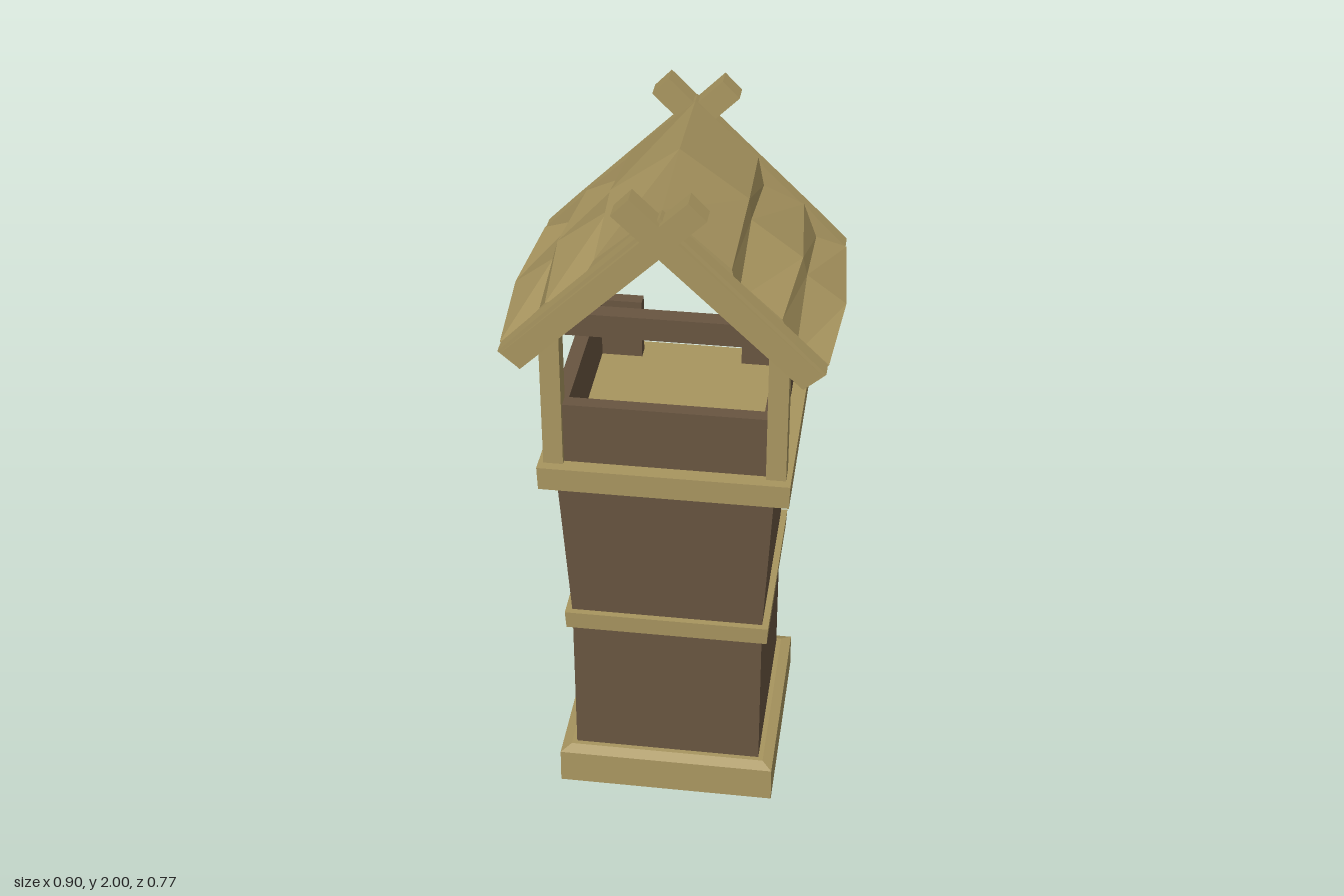
import * as THREE from 'three';

const flat = (name, color) => {
  const m = new THREE.MeshStandardMaterial({ color, flatShading: true });
  m.name = name;
  return m;
};

// Lofted roof: closed profiles (counter-clockwise seen from +z) joined along z
function roofGeometry() {
  const ridgeToEave = (d) => [d, 1.94 - 0.97 * d];
  // each half runs from the lower eave edge up to the first shingle lip
  const plain = {
    ridge: 1.94,
    half: [[0.37, 1.477], [0.425, 1.525], ...[0.342, 0.31, 0.192, 0.178].map(ridgeToEave)],
  };
  const notched = {
    ridge: 1.94,
    half: [[0.37, 1.477], [0.428, 1.525], [0.342, 1.55], [0.305, 1.65], [0.192, 1.7], [0.175, 1.785]],
  };
  const middle = {
    ridge: 1.952,
    half: [[0.385, 1.477], [0.45, 1.525], [0.342, 1.605], [0.33, 1.657], [0.19, 1.76], [0.184, 1.82]],
  };
  const loop = ({ ridge, half }) => [
    ...half, [0, ridge], ...half.map(([x, y]) => [-x, y]).reverse(), [0, 1.838],
  ];
  const sections = [
    [-0.362, plain], [-0.315, plain], [-0.315, notched], [0, middle],
    [0.315, notched], [0.315, plain], [0.362, plain],
  ].map(([z, p]) => loop(p).map(([x, y]) => [x, y, z]));

  const n = sections[0].length;
  const index = [];
  for (let s = 0; s < sections.length - 1; s++) {
    for (let i = 0; i < n; i++) {
      const j = (i + 1) % n;
      const a = s * n + i, b = s * n + j, c = b + n, d = a + n;
      index.push(a, b, c, a, c, d);
    }
  }
  // end caps
  const outline = sections[0].map(([x, y]) => new THREE.Vector2(x, y));
  const last = (sections.length - 1) * n;
  for (const [a, b, c] of THREE.ShapeUtils.triangulateShape(outline, [])) {
    index.push(c, b, a, last + a, last + b, last + c);
  }
  const g = new THREE.BufferGeometry();
  g.setAttribute('position', new THREE.Float32BufferAttribute(sections.flat(2), 3));
  g.setIndex(index);
  const out = g.toNonIndexed();
  out.computeVertexNormals();
  return out;
}

// Gable rafter, leaning outward towards the ridge
function rafterGeometry(side) {
  const g = new THREE.BoxGeometry(0.679, 0.066, 0.058);
  const p = g.attributes.position;
  for (let i = 0; i < p.count; i++) {
    const upper = p.getX(i) * side < 0;
    p.setZ(i, p.getZ(i) > 0 ? (upper ? 0.384 : 0.366) : (upper ? 0.325 : 0.315));
  }
  g.rotateZ(-side * 0.771);
  g.translate(side * 0.147, 1.7375, 0);
  return g;
}

export function createModel() {
  const root = new THREE.Group();
  root.name = 'watchtower';
  const tan = flat('tan timber', 0xa8955f);
  const brown = flat('dark brown planks', 0x685540);

  const tower = new THREE.Group();
  tower.name = 'tower';
  tower.position.set(-0.012, 0, -0.003);
  root.add(tower);

  const add = (name, geometry, material, parent = tower) => {
    const m = new THREE.Mesh(geometry, material);
    m.name = name;
    parent.add(m);
    return m;
  };
  // square block, half widths at bottom and top
  const block = (name, y0, y1, w0, w1, material) => {
    const g = new THREE.CylinderGeometry(w1 * Math.SQRT2, w0 * Math.SQRT2, y1 - y0, 4);
    g.rotateY(Math.PI / 4);
    g.translate(0, (y0 + y1) / 2, 0);
    return add(name, g, material);
  };
  const box = (name, x0, x1, y0, y1, z0, z1, material) => {
    const g = new THREE.BoxGeometry(x1 - x0, y1 - y0, z1 - z0);
    g.translate((x0 + x1) / 2, (y0 + y1) / 2, (z0 + z1) / 2);
    return add(name, g, material);
  };

  // shaft and ledges
  block('base', 0, 0.107, 0.315, 0.314, tan);
  block('baseBevel', 0.107, 0.12, 0.314, 0.285, tan);
  block('lowerShaft', 0.11, 0.57, 0.271, 0.271, brown);
  block('middleBand', 0.565, 0.62, 0.287, 0.29, tan);
  block('upperShaft', 0.61, 1.07, 0.271, 0.296, brown);
  block('platformBevel', 1.06, 1.08, 0.298, 0.338, tan);
  block('platform', 1.08, 1.15, 0.34, 0.342, tan);

  // corner posts
  for (const sx of [-1, 1]) {
    for (const sz of [-1, 1]) {
      const g = new THREE.BoxGeometry(0.054, 0.44, 0.056);
      g.translate(sx * 0.301, 1.36, sz * 0.286);
      add('cornerPost', g, tan);
    }
  }

  // parapet: full on the front and sides, gateway at the back
  box('frontWall', -0.285, 0.285, 1.14, 1.33, 0.258, 0.298, brown);
  box('leftWall', 0.262, 0.302, 1.14, 1.33, -0.285, 0.285, brown);
  box('rightWall', -0.302, -0.262, 1.14, 1.33, -0.285, 0.285, brown);
  box('backWallLeft', 0.145, 0.285, 1.14, 1.33, -0.298, -0.258, brown);
  box('backWallRight', -0.285, -0.145, 1.14, 1.33, -0.298, -0.258, brown);

  // tie beams under the roof
  for (const z of [-0.286, 0.286]) {
    box('tieBeam', -0.3, 0.3, 1.555, 1.62, z - 0.024, z + 0.024, brown);
  }

  // roof with stepped shingle rows and crossed gable rafters
  const roof = new THREE.Group();
  roof.name = 'roof';
  roof.position.x = -0.012;
  root.add(roof);
  add('shingles', roofGeometry(), tan, roof);
  for (const [name, turn] of [['frontGable', 0], ['backGable', Math.PI]]) {
    const gable = new THREE.Group();
    gable.name = name;
    gable.rotation.y = turn;
    roof.add(gable);
    for (const side of [-1, 1]) add('rafter', rafterGeometry(side), tan, gable);
  }
  return root;
}
